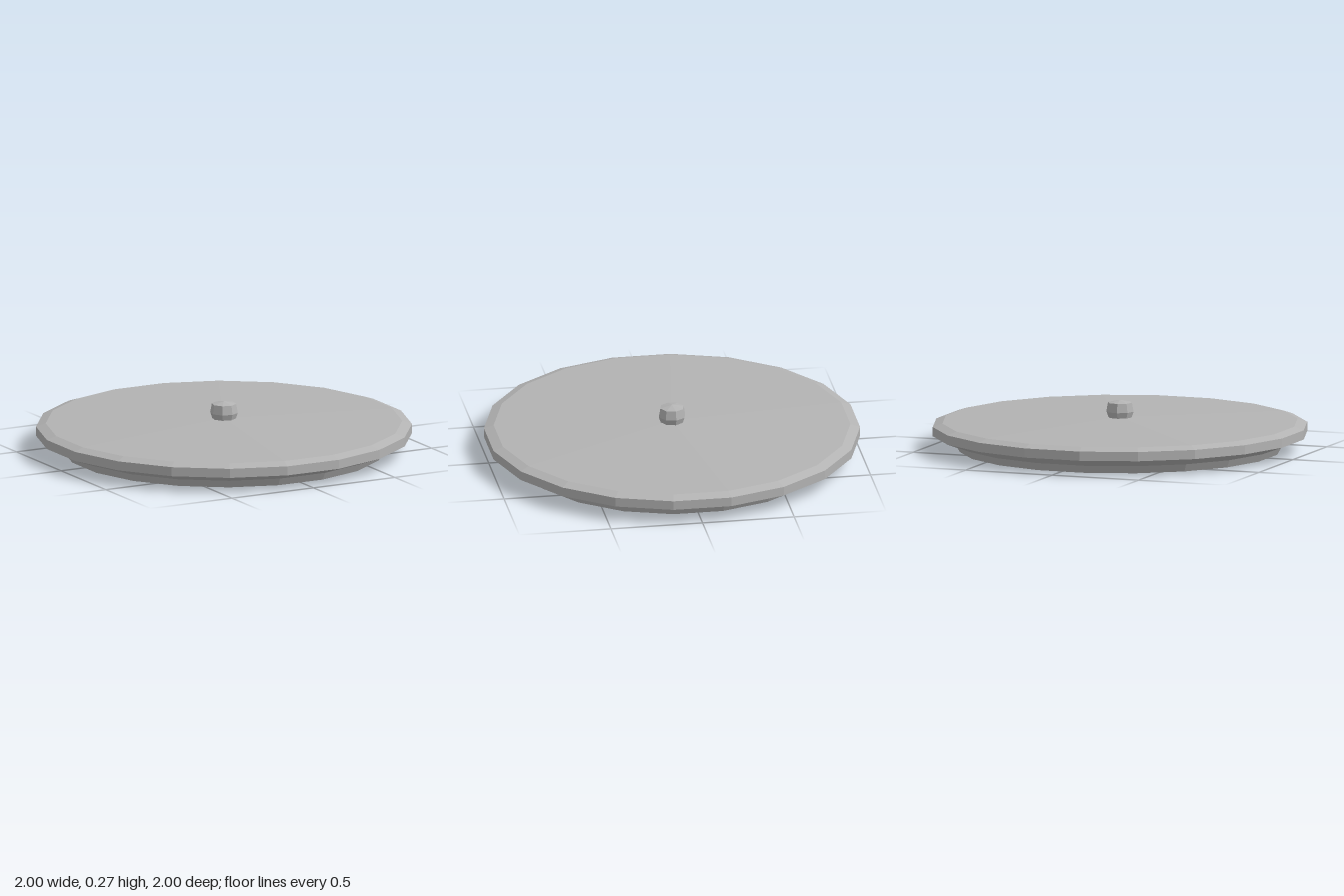
import * as THREE from 'three';

const grey = new THREE.MeshStandardMaterial({ color: 0xb3b3b3, flatShading: true });
grey.name = 'grey';

// Faceted solid of revolution from [radius, height] pairs, bottom to top
function turned(name, profile, sides) {
  const points = profile.map(([r, y]) => new THREE.Vector2(r, y));
  const geometry = new THREE.LatheGeometry(points, sides, Math.PI / 20).toNonIndexed();
  geometry.computeVertexNormals();
  const mesh = new THREE.Mesh(geometry, grey);
  mesh.name = name;
  return mesh;
}

export function createModel() {
  const model = new THREE.Group();
  model.name = 'lid';

  // Twenty-sided disc with an inset foot, bevelled rim and slightly raised top
  model.add(turned('disc', [
    [0, 0], [0.867, 0], [0.89, 0.042], [1.0125, 0.087],
    [1.0125, 0.137], [0.96, 0.155], [0, 0.178],
  ], 20));

  // Eight-sided knob at the centre
  model.add(turned('knob', [
    [0.062, 0.17], [0.075, 0.208], [0.066, 0.257], [0, 0.271],
  ], 8));

  return model;
}
